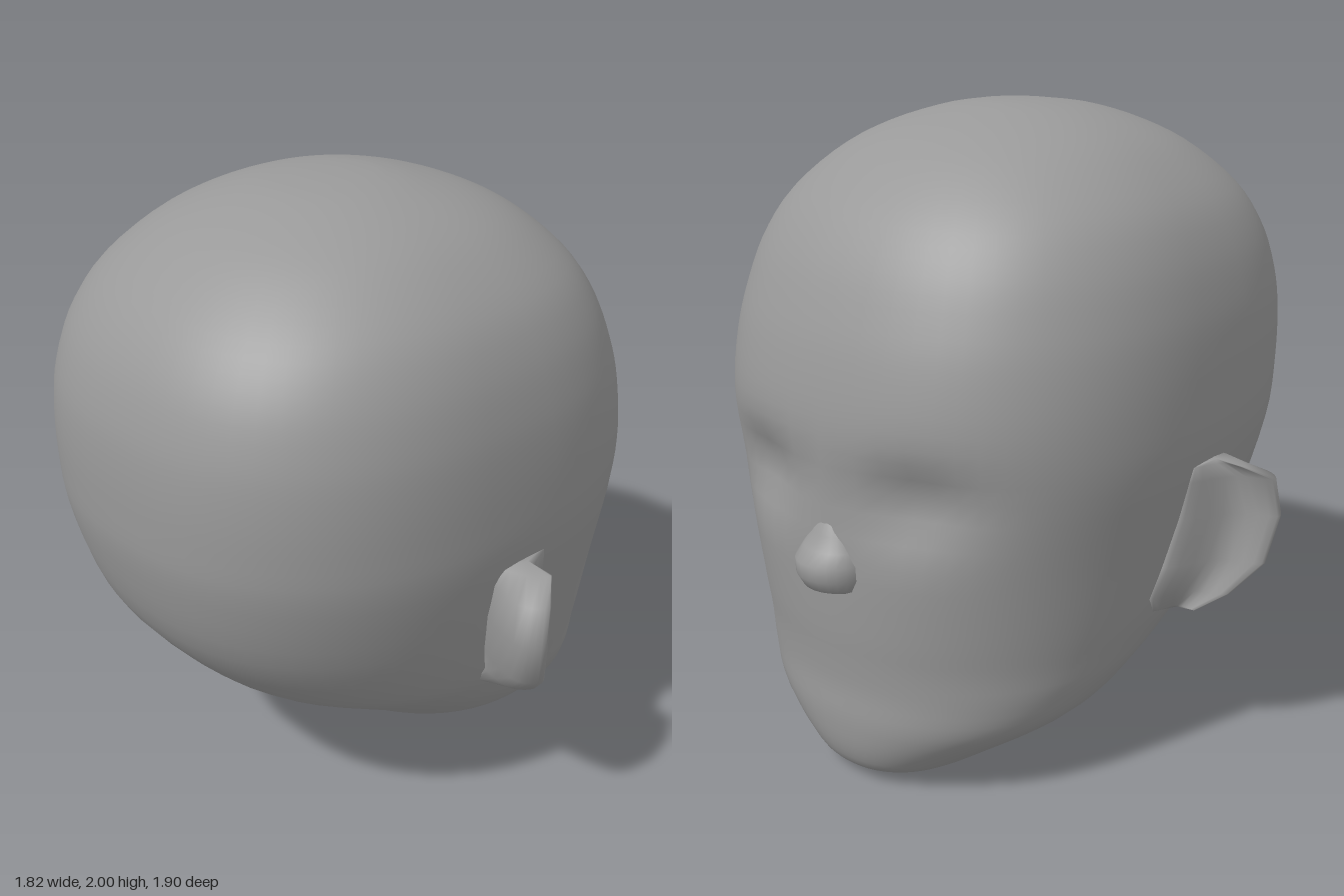
import * as THREE from 'three';

const material = new THREE.MeshStandardMaterial({ color: 0x999999 });

// Horizontal sections of the head: [y, back x, front x, half width, roundness]
const HEAD = [
  [0.005, 0.36, 0.64, 0.14, 2.1],
  [0.04, 0.19, 0.75, 0.24, 2.2],
  [0.11, 0.0, 0.793, 0.36, 2.2],
  [0.22, -0.18, 0.808, 0.52, 2.2],
  [0.33, -0.33, 0.805, 0.595, 2.2],
  [0.43, -0.5, 0.812, 0.635, 2.2],
  [0.54, -0.66, 0.823, 0.67, 2.25],
  [0.75, -0.825, 0.835, 0.717, 2.35],
  [1.0, -0.9, 0.843, 0.765, 2.45],
  [1.17, -0.914, 0.84, 0.773, 2.5],
  [1.33, -0.912, 0.812, 0.769, 2.5],
  [1.46, -0.893, 0.772, 0.753, 2.48],
  [1.6, -0.843, 0.712, 0.715, 2.45],
  [1.73, -0.752, 0.622, 0.645, 2.4],
  [1.85, -0.61, 0.485, 0.52, 2.3],
  [1.925, -0.465, 0.34, 0.39, 2.2],
  [1.975, -0.31, 0.17, 0.24, 2.1],
  [1.995, -0.16, 0.06, 0.11, 2],
];

// Ear sections: [y, tip x, tip z, front root x, root z]
const EAR = [
  [0.51, 0.0, 0.73, 0.07, 0.655],
  [0.57, -0.05, 0.815, 0.11, 0.67],
  [0.67, -0.115, 0.895, 0.08, 0.695],
  [0.82, -0.145, 0.922, 0.05, 0.725],
  [0.94, -0.125, 0.908, 0.04, 0.745],
  [0.985, -0.05, 0.845, 0.03, 0.755],
];

// Nose sections: [y, front x, half width]
const NOSE = [
  [0.655, 0.845, 0.07],
  [0.672, 0.885, 0.1],
  [0.71, 0.907, 0.117],
  [0.755, 0.909, 0.117],
  [0.79, 0.878, 0.098],
  [0.83, 0.85, 0.07],
  [0.88, 0.832, 0.04],
];

const power = (v, e) => Math.sign(v) * Math.abs(v) ** e;

// Smooth closed skin over rings of points, listed from bottom to top
function loft(rings, bottomPoint, topPoint) {
  const cols = rings[0].length, last = (rings.length - 1) * cols;
  const points = [...rings.flat(), bottomPoint, topPoint];
  const bottom = points.length - 2, top = points.length - 1, index = [];
  for (let j = 0; j < cols; j++) {
    const k = (j + 1) % cols;
    for (let row = 0; row < last; row += cols) {
      const a = row + j, b = a + cols, c = row + k, d = c + cols;
      index.push(a, b, c, b, d, c);
    }
    index.push(bottom, j, k, top, last + k, last + j);
  }
  const g = new THREE.BufferGeometry().setFromPoints(points);
  g.setIndex(index);
  g.computeVertexNormals();
  return g;
}

// Skull and face, with pressed-in eye sockets
function headGeometry() {
  const cols = 64, rows = 60;
  const curve = (f) => new THREE.CatmullRomCurve3(HEAD.map(f), false, 'catmullrom', 0.5);
  const extents = curve((s) => new THREE.Vector3(s[1], s[2], s[3]));
  const heights = curve((s) => new THREE.Vector3(s[0], s[4], 0));
  const rings = [];
  for (let i = 0; i <= rows; i++) {
    const { x: back, y: front, z: width } = extents.getPoint(i / rows);
    const { x: y, y: n } = heights.getPoint(i / rows);
    const ring = [];
    for (let j = 0; j < cols; j++) {
      const a = (j / cols) * Math.PI * 2;
      let x = (back + front) / 2 + ((front - back) / 2) * power(Math.cos(a), 2 / n);
      const z = width * power(Math.sin(a), 2 / n);
      if (x > 0.3) {
        const dz = (Math.abs(z) - 0.29) / 0.17, dy = (y - 0.96) / 0.11;
        x -= 0.065 * Math.exp(-dz * dz - dy * dy);
      }
      ring.push(new THREE.Vector3(x, y, z));
    }
    rings.push(ring);
  }
  return loft(rings, new THREE.Vector3(0.5, 0, 0), new THREE.Vector3(-0.04, 2, 0));
}

// Ear swept outwards and backwards, hollow in front and flaring into the head
function earGeometry() {
  const cols = 24, t = 0.028;
  const rings = EAR.map(([y, tx, tz, rx, rz]) => {
    const loop = [
      [rx + 0.05, rz],
      [(tx + rx) / 2 - 0.005, (tz + rz) / 2 + 0.005],
      [tx + t, tz + t],
      [tx - t, tz - t],
      [rx - 0.13, rz - 0.05],
    ].map(([x, z]) => new THREE.Vector3(x, y, z));
    const curve = new THREE.CatmullRomCurve3(loop, true, 'centripetal');
    return Array.from({ length: cols }, (_, j) => curve.getPoint(j / cols));
  });
  return loft(rings, new THREE.Vector3(0.02, 0.5, 0.69), new THREE.Vector3(-0.02, 0.992, 0.78));
}

// Small nose, broad at the nostrils and fading into the bridge
function noseGeometry() {
  const cols = 24, cx = 0.8;
  const rings = NOSE.map(([y, front, width]) => Array.from({ length: cols }, (_, j) => {
    const a = (j / cols) * Math.PI * 2;
    return new THREE.Vector3(cx + (front - cx) * Math.cos(a), y, width * Math.sin(a));
  }));
  return loft(rings, new THREE.Vector3(cx, 0.65, 0), new THREE.Vector3(cx, 0.9, 0));
}

export function createModel() {
  const model = new THREE.Group();
  model.name = 'head';
  const add = (name, geometry) => {
    const mesh = new THREE.Mesh(geometry, material);
    mesh.name = name;
    model.add(mesh);
    return mesh;
  };

  add('skullAndFace', headGeometry());
  add('nose', noseGeometry());
  const ear = earGeometry();
  add('nearEar', ear);
  add('farEar', ear).scale.z = -1;

  return model;
}
